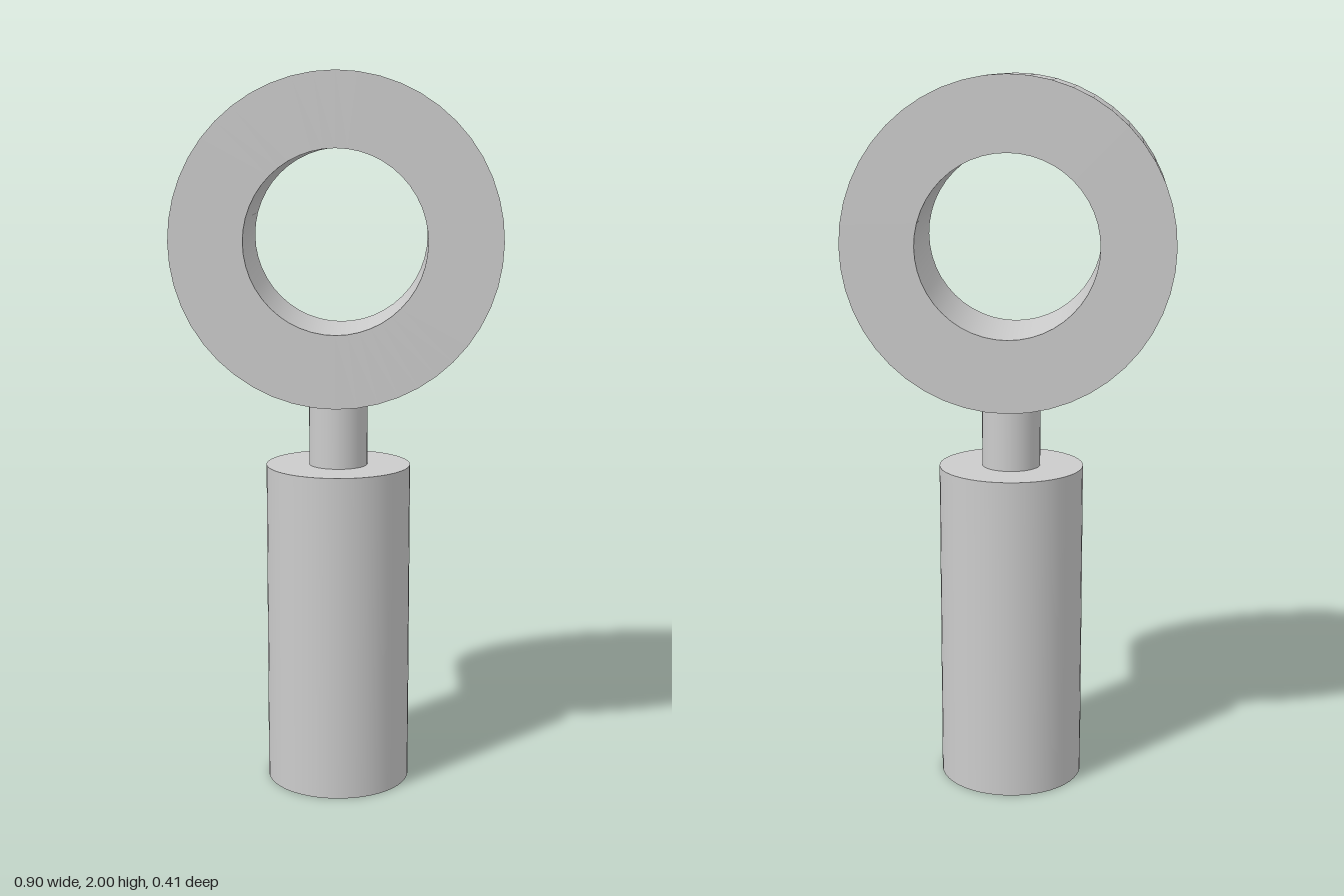
import * as THREE from 'three';
import { toCreasedNormals } from 'three/addons/utils/BufferGeometryUtils.js';

const SIDES = 48;

export function createModel() {
  const model = new THREE.Group();
  const material = new THREE.MeshStandardMaterial({ color: 0xcccccc });

  const add = (name, geometry, y) => {
    const mesh = new THREE.Mesh(geometry, material);
    mesh.name = name;
    mesh.position.y = y;
    model.add(mesh);
  };

  // upright cylinder between two heights
  const post = (name, radius, bottom, top) =>
    add(name, new THREE.CylinderGeometry(radius, radius, top - bottom, SIDES), (bottom + top) / 2);

  post('handle', 0.203, 0, 0.92);
  post('stem', 0.082, 0.91, 1.13); // ends inside the ring wall

  // thick ring: rectangular section revolved, hole running front to back
  const outer = 0.448, inner = 0.247, half = 0.172;
  const section = [
    [inner, -half], [outer, -half], [outer, half], [inner, half], [inner, -half],
  ].map(([r, h]) => new THREE.Vector2(r, h));
  const ring = new THREE.LatheGeometry(section, SIDES).rotateX(Math.PI / 2);
  add('ring', toCreasedNormals(ring, Math.PI / 6), 2 - outer);

  return model;
}
